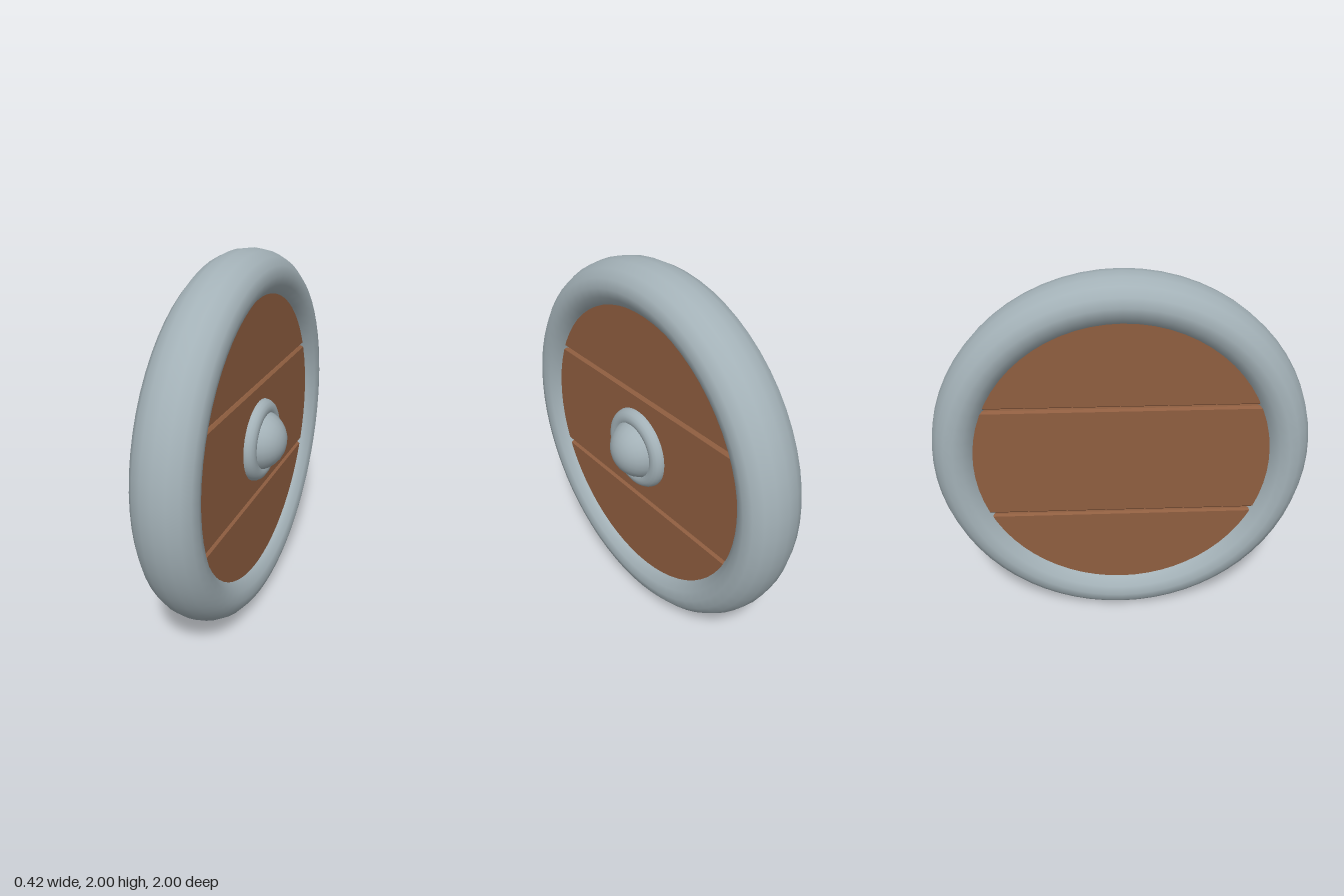
import * as THREE from 'three';

const CENTRE_X = -0.047;  // middle plane of the wheel
const WOOD_HALF = 0.107;  // half the plank thickness
const WOOD_R = 0.82;      // plank disc radius, its edge is buried in the rim
const BEVEL = 0.012;

const metal = new THREE.MeshStandardMaterial({ color: 0xa3b1b7 });
const wood = new THREE.MeshStandardMaterial({ color: 0x8f5e40 });

function addMesh(group, name, geometry, material, x) {
  const mesh = new THREE.Mesh(geometry, material);
  mesh.name = name;
  mesh.position.set(x, 1, 0);
  group.add(mesh);
  return mesh;
}

// Ring around the x axis, with a tube stretched along x
function ring(radius, tube, width, sides, segments) {
  return new THREE.TorusGeometry(radius, tube, sides, segments)
    .scale(1, 1, width / tube)
    .rotateY(Math.PI / 2);
}

// Slice of the disc between two heights, with bevelled edges
function plank(low, high) {
  const angle = (y) => Math.asin(THREE.MathUtils.clamp(y / WOOD_R, -1, 1));
  const a = angle(low), b = angle(high);
  const shape = new THREE.Shape();
  shape.absarc(0, 0, WOOD_R, a, b, false);
  shape.absarc(0, 0, WOOD_R, Math.PI - b, Math.PI - a, false);
  shape.closePath();
  return new THREE.ExtrudeGeometry(shape, {
    depth: 2 * (WOOD_HALF - BEVEL), curveSegments: 24,
    bevelEnabled: true, bevelSegments: 1,
    bevelThickness: BEVEL, bevelSize: BEVEL, bevelOffset: -BEVEL,
  }).translate(0, 0, BEVEL - WOOD_HALF).rotateY(Math.PI / 2);
}

export function createModel() {
  const model = new THREE.Group();
  model.name = 'roundShield';

  // Thick metal rim
  addMesh(model, 'rim', ring(0.873, 0.127, 0.167, 16, 64), metal, CENTRE_X);

  // Three planks with narrow open gaps between them
  const gap = 0.005;
  [
    ['lowerPlank', -WOOD_R, -0.318 - gap],
    ['middlePlank', -0.318 + gap, 0.322 - gap],
    ['upperPlank', 0.322 + gap, WOOD_R],
  ].forEach(([name, low, high]) => addMesh(model, name, plank(low, high), wood, CENTRE_X));

  // Domed boss and its collar, on one face only
  addMesh(model, 'bossCollar', ring(0.175, 0.05, 0.05, 16, 48), metal, 0.06);
  addMesh(model, 'bossDome', new THREE.SphereGeometry(0.17, 20, 16).rotateZ(-Math.PI / 2), metal, 0.04);

  return model;
}
